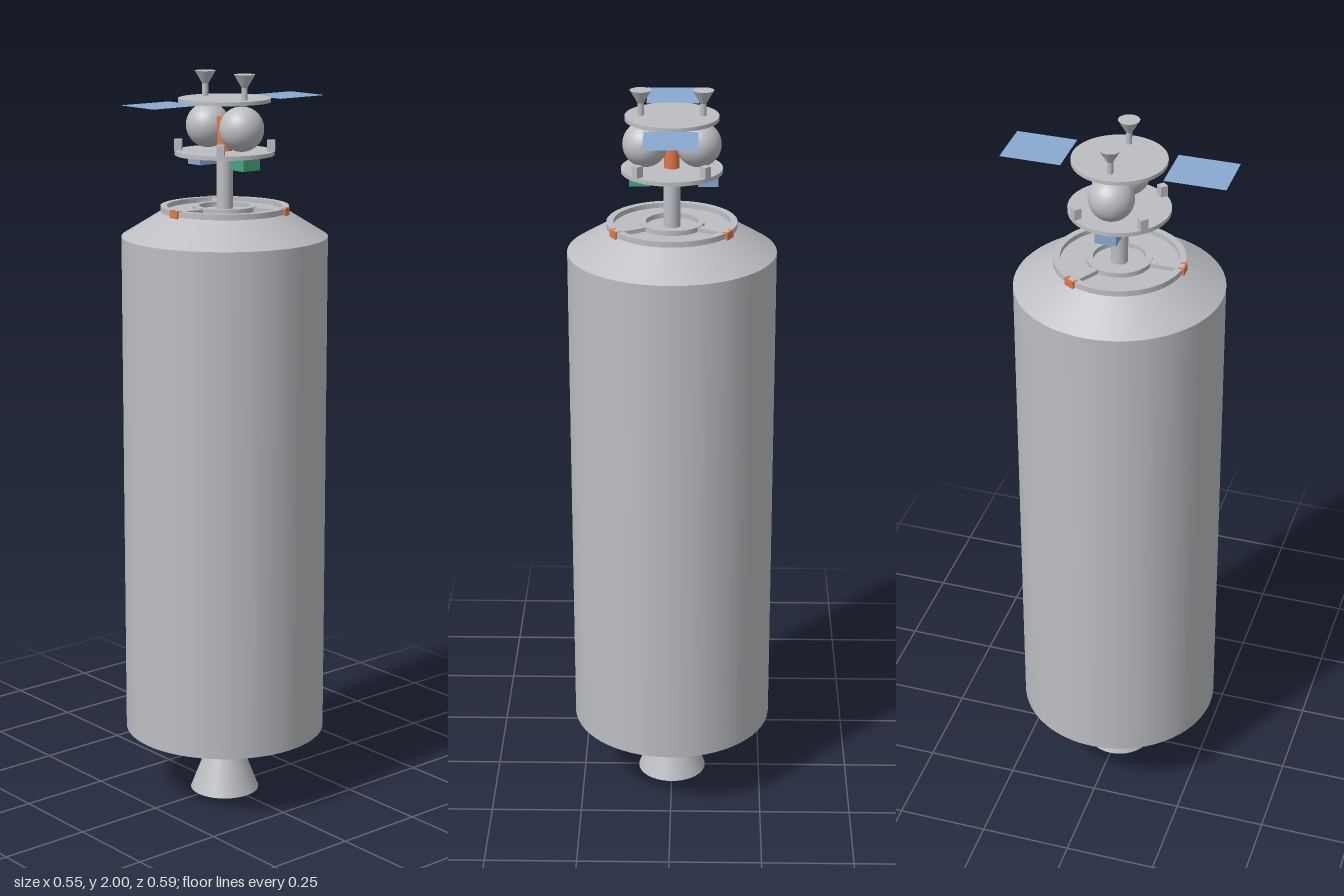
import * as THREE from 'three';

const mat = (name, color) => {
  const m = new THREE.MeshStandardMaterial({ color });
  m.name = name;
  return m;
};

export function createModel() {
  const grey = mat('light grey', 0xbcbec2);
  const orange = mat('orange', 0xe0784a);
  const green = mat('green', 0x46a583);
  const blue = mat('panel blue', 0x89a8d0);
  const blueSheet = mat('solar sheet blue', 0x89a8d0);
  blueSheet.side = THREE.DoubleSide;

  const model = new THREE.Group();
  model.name = 'spacecraft';

  const add = (name, geo, material, x = 0, y = 0, z = 0, parent = model) => {
    const m = new THREE.Mesh(geo, material);
    m.name = name;
    m.position.set(x, y, z);
    parent.add(m);
    return m;
  };
  // Upright cylinder or cone between two heights
  const drum = (name, rTop, rBottom, y0, y1, material = grey, x = 0, z = 0, seg = 64) =>
    add(name, new THREE.CylinderGeometry(rTop, rBottom, y1 - y0, seg), material, x, (y0 + y1) / 2, z);
  // Flat ring with a square section
  const ring = (name, rIn, rOut, y0, y1) => {
    const shape = new THREE.Shape().absarc(0, 0, rOut, 0, Math.PI * 2);
    shape.holes.push(new THREE.Path().absarc(0, 0, rIn, 0, Math.PI * 2, true));
    const geo = new THREE.ExtrudeGeometry(shape, { depth: y1 - y0, bevelEnabled: false, curveSegments: 48 });
    geo.rotateX(-Math.PI / 2);
    return add(name, geo, grey, 0, y0, 0);
  };

  // Engine, tank and shoulder
  drum('engineNozzle', 0.022, 0.095, 0, 0.19);
  drum('tank', 0.275, 0.275, 0.19, 1.57);
  drum('shoulder', 0.165, 0.275, 1.57, 1.638);

  // Docking rings with three spokes, each held by an orange clip
  ring('outerRing', 0.153, 0.171, 1.636, 1.651);
  ring('innerRing', 0.068, 0.085, 1.636, 1.651);
  for (let i = 0; i < 3; i++) {
    const arm = new THREE.Group();
    arm.name = 'dockingArm';
    arm.rotation.y = (i * Math.PI * 2) / 3;
    model.add(arm);
    add('spoke', new THREE.BoxGeometry(0.022, 0.012, 0.074), grey, 0, 1.643, 0.119, arm);
    add('clipBack', new THREE.BoxGeometry(0.032, 0.02, 0.005), orange, 0, 1.642, 0.173, arm);
    for (const s of [-1, 1])
      add('clipSide', new THREE.BoxGeometry(0.005, 0.02, 0.014), orange, s * 0.0135, 1.642, 0.166, arm);
  }

  // Mast and equipment decks
  drum('mast', 0.022, 0.022, 1.636, 1.79, grey, 0, 0, 32);
  drum('lowerDeck', 0.132, 0.132, 1.785, 1.796);
  drum('upperDeck', 0.122, 0.122, 1.924, 1.934);
  drum('coreCanister', 0.02, 0.02, 1.794, 1.885, orange, 0, 0, 32);

  // Small blocks around the lower deck
  for (let i = 0; i < 4; i++) {
    const corner = new THREE.Group();
    corner.name = 'deckBlock';
    corner.rotation.y = Math.PI / 4 + (i * Math.PI) / 2;
    model.add(corner);
    add('block', new THREE.BoxGeometry(0.02, 0.03, 0.02), grey, 0, 1.81, 0.123, corner);
  }

  // Instrument boxes under the lower deck
  const box = new THREE.BoxGeometry(0.052, 0.034, 0.056);
  add('leftInstrument', box, green, 0.084, 1.769, 0);
  add('rightInstrument', box, blue, -0.094, 1.769, 0);

  // Paired spherical tanks and horn antennas
  for (const s of [-1, 1]) {
    add('sphereTank', new THREE.SphereGeometry(0.059, 40, 28), grey, s * 0.069, 1.858, 0);
    drum('antennaStem', 0.008, 0.008, 1.932, 1.97, grey, s * 0.08, 0, 20);
    drum('antennaHorn', 0.028, 0.008, 1.966, 2, grey, s * 0.08, 0, 32);
  }

  // Solar panels in front and behind
  for (const s of [-1, 1]) {
    const sheet = new THREE.PlaneGeometry(0.138, 0.16);
    sheet.rotateX(-Math.PI / 2);
    add('solarPanel', sheet, blueSheet, 0, 1.928, s * 0.213);
  }

  return model;
}
